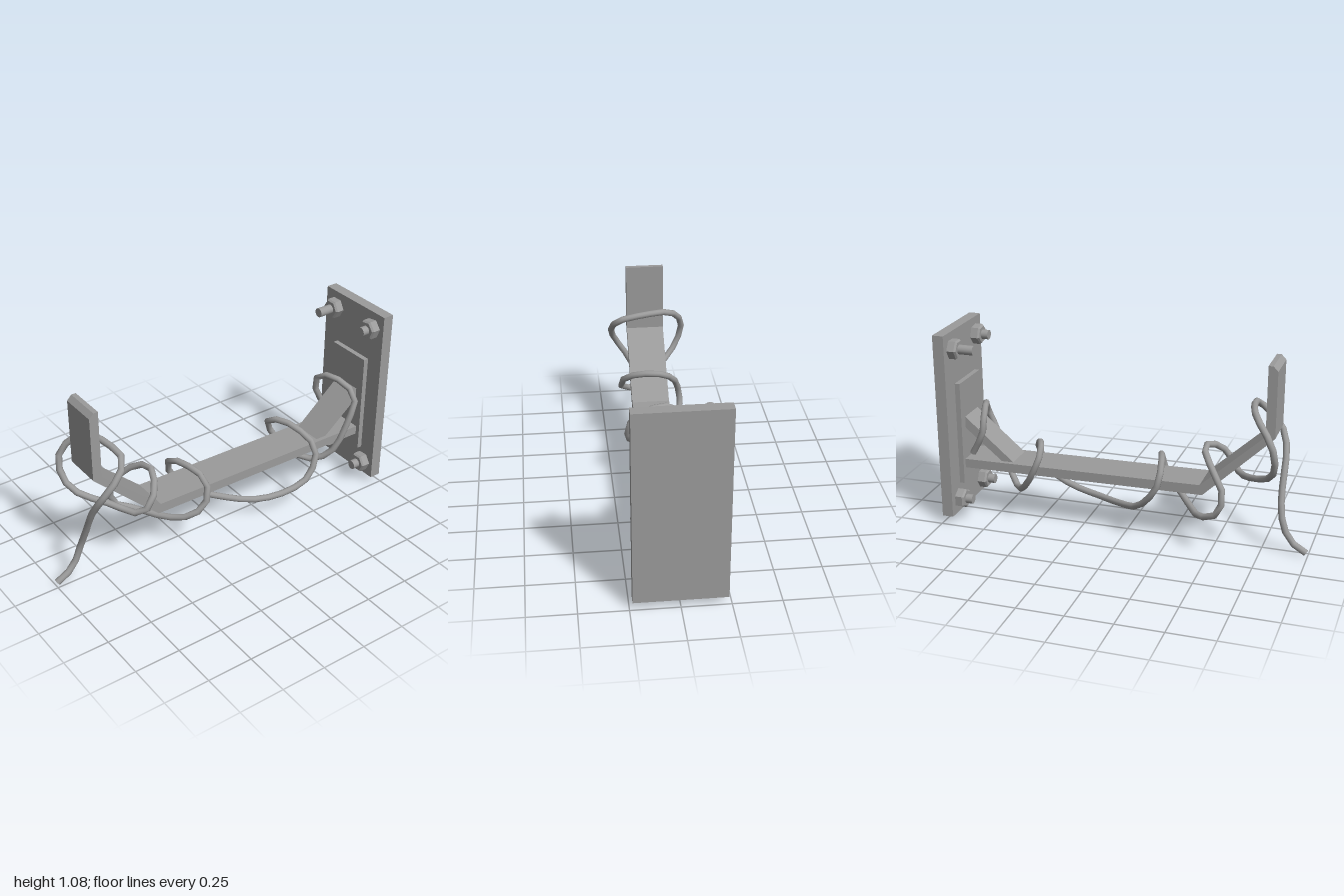
import * as THREE from 'three';

const color = 0x9b9b9b;
const material = new THREE.MeshStandardMaterial({ color });
const flat = new THREE.MeshStandardMaterial({ color, flatShading: true });

function add(group, name, geometry, mat = material) {
  const mesh = new THREE.Mesh(geometry, mat);
  mesh.name = name;
  group.add(mesh);
  return mesh;
}

// Side profile given as (z, y) points, extruded across x
function strip(profile, x0, x1) {
  const shape = new THREE.Shape(profile.map(([z, y]) => new THREE.Vector2(z, y)));
  const geometry = new THREE.ExtrudeGeometry(shape, { depth: x1 - x0, bevelEnabled: false });
  return geometry.rotateY(-Math.PI / 2).translate(x1, 0, 0);
}

function box(x0, x1, y0, y1, z0, z1) {
  return new THREE.BoxGeometry(x1 - x0, y1 - y0, z1 - z0)
    .translate((x0 + x1) / 2, (y0 + y1) / 2, (z0 + z1) / 2);
}

// Bolt with a chamfered hex nut, axis along z
function bolt(x, y, end, turn) {
  const group = new THREE.Group();
  group.name = 'bolt';
  const nut = new THREE.LatheGeometry(
    [[0, 0], [0.056, 0], [0.056, 0.042], [0.048, 0.052], [0, 0.052]].map(p => new THREE.Vector2(...p)), 6);
  add(group, 'nut', nut.rotateX(Math.PI / 2).rotateZ(turn), flat);
  const length = end + 0.94;
  add(group, 'shank', new THREE.CylinderGeometry(0.026, 0.026, length, 16)
    .rotateX(Math.PI / 2).translate(0, 0, length / 2));
  group.position.set(x, y, -0.94);
  return group;
}

// Wire centreline from the loose front end, looping round the hook to the wall
const wirePath = [
  [-0.025, 0.02, 0.99], [-0.02, 0.08, 0.9], [-0.01, 0.2, 0.85], [0.05, 0.35, 0.835],
  [0.12, 0.49, 0.835], [0.185, 0.6, 0.81], [0.203, 0.69, 0.74], [0.165, 0.765, 0.67],
  [0, 0.795, 0.68], [-0.13, 0.785, 0.72], [-0.205, 0.7, 0.8], [-0.213, 0.63, 0.83],
  [-0.18, 0.53, 0.83], [-0.12, 0.46, 0.79], [0, 0.4, 0.66], [0.12, 0.38, 0.58],
  [0.165, 0.42, 0.54], [0.14, 0.5, 0.48], [0, 0.545, 0.425], [-0.12, 0.48, 0.49],
  [-0.17, 0.36, 0.565], [-0.175, 0.25, 0.54], [-0.13, 0.2, 0.44], [0.02, 0.19, 0.34],
  [0.12, 0.22, 0.26], [0.16, 0.29, 0.18], [0.13, 0.41, 0.155], [0, 0.455, 0.19],
  [-0.12, 0.43, 0.22], [-0.148, 0.34, 0.205], [-0.1, 0.2, 0.09], [0.01, 0.15, -0.05],
  [0.11, 0.13, -0.2], [0.165, 0.145, -0.37], [0.185, 0.2, -0.5], [0.155, 0.35, -0.57],
  [0, 0.46, -0.5], [-0.12, 0.44, -0.455], [-0.148, 0.37, -0.475], [-0.11, 0.24, -0.55],
  [0, 0.17, -0.64], [0.1, 0.23, -0.73], [0.14, 0.42, -0.81], [0.125, 0.57, -0.865],
  [0, 0.65, -0.815], [-0.1, 0.62, -0.785], [-0.12, 0.52, -0.79], [-0.1, 0.39, -0.86],
].map(p => new THREE.Vector3(...p));

export function createModel() {
  const model = new THREE.Group();
  model.name = 'wallHook';

  // Wall mounting
  add(model, 'wallPlate', box(-0.235, 0.235, 0.048, 1.086, -1, -0.938));
  add(model, 'backingPlate', box(-0.125, 0.135, 0.21, 0.79, -0.94, -0.91));
  model.add(bolt(-0.148, 0.995, -0.805, 0.52), bolt(0.153, 0.993, -0.85, 0.69),
    bolt(-0.148, 0.13, -0.85, 0.05), bolt(0.157, 0.127, -0.85, 0.6));

  // Bent flat bar: arm, rising section and upright tip
  add(model, 'hookBar', strip([
    [-0.915, 0.295], [0.44, 0.31], [0.812, 0.67], [0.812, 1.026], [0.787, 1.052],
    [0.762, 1.052], [0.762, 0.675], [0.425, 0.365], [-0.915, 0.345],
  ], -0.1, 0.11));

  // Diagonal brace between arm and backing plate
  add(model, 'brace', strip([
    [-0.685, 0.335], [-0.618, 0.335], [-0.915, 0.59], [-0.915, 0.525],
  ], -0.075, 0.088));

  // Wire in short straight facets, with capped ends
  const curve = new THREE.CatmullRomCurve3(wirePath);
  const radius = 0.018;
  add(model, 'wire', new THREE.TubeGeometry(curve, 84, radius, 10));
  for (const t of [0, 1]) {
    const cap = add(model, 'wireEnd', new THREE.CircleGeometry(radius, 10));
    const outward = curve.getTangentAt(t).multiplyScalar(t ? 1 : -1);
    cap.position.copy(curve.getPointAt(t));
    cap.quaternion.setFromUnitVectors(new THREE.Vector3(0, 0, 1), outward);
  }
  return model;
}
